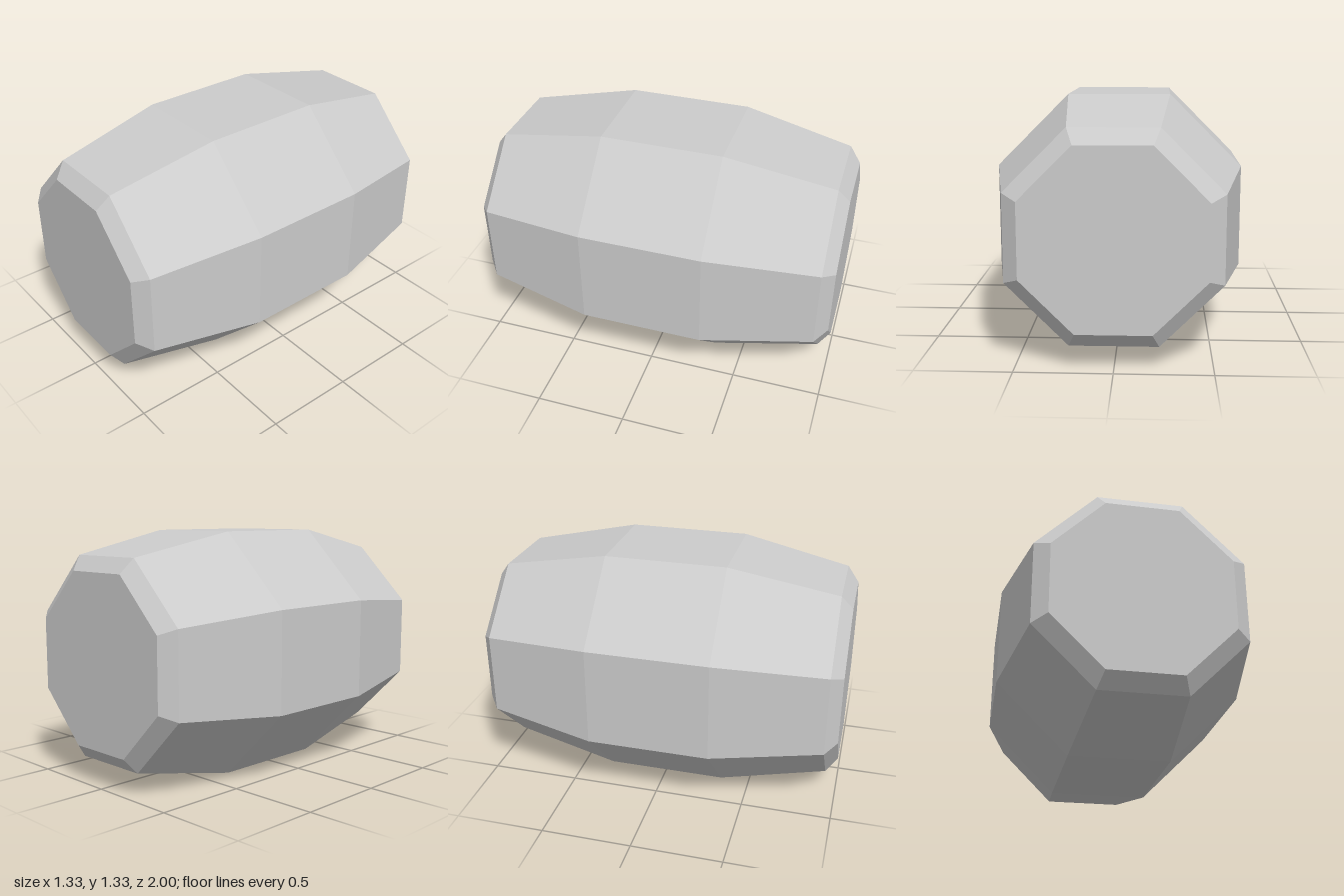
import * as THREE from 'three';

// Eight-sided barrel lying along z, bulging in the middle with chamfered ends
export function createModel() {
  const group = new THREE.Group();
  group.name = 'barrel';

  const sides = 8;
  const apothem = 0.666; // centre to flat side at the widest section
  const toCorner = 1 / Math.cos(Math.PI / sides);

  // Half profile: [distance to flat side, distance along the axis]
  const half = [[0.666, 0.336], [0.546, 0.936], [0.467, 1], [0, 1]];
  const profile = [
    ...half.map(([r, d]) => [r, -d]).reverse(),
    ...half,
  ].map(([r, d]) => new THREE.Vector2(r * toCorner, d));

  // Start half a side round so that flats face up, down, left and right
  const geometry = new THREE.LatheGeometry(profile, sides, Math.PI / sides);
  geometry.rotateX(Math.PI / 2);

  const body = new THREE.Mesh(
    geometry,
    new THREE.MeshStandardMaterial({ color: 0xcccccc, flatShading: true })
  );
  body.name = 'barrelBody';
  body.position.y = apothem;
  group.add(body);
  return group;
}
